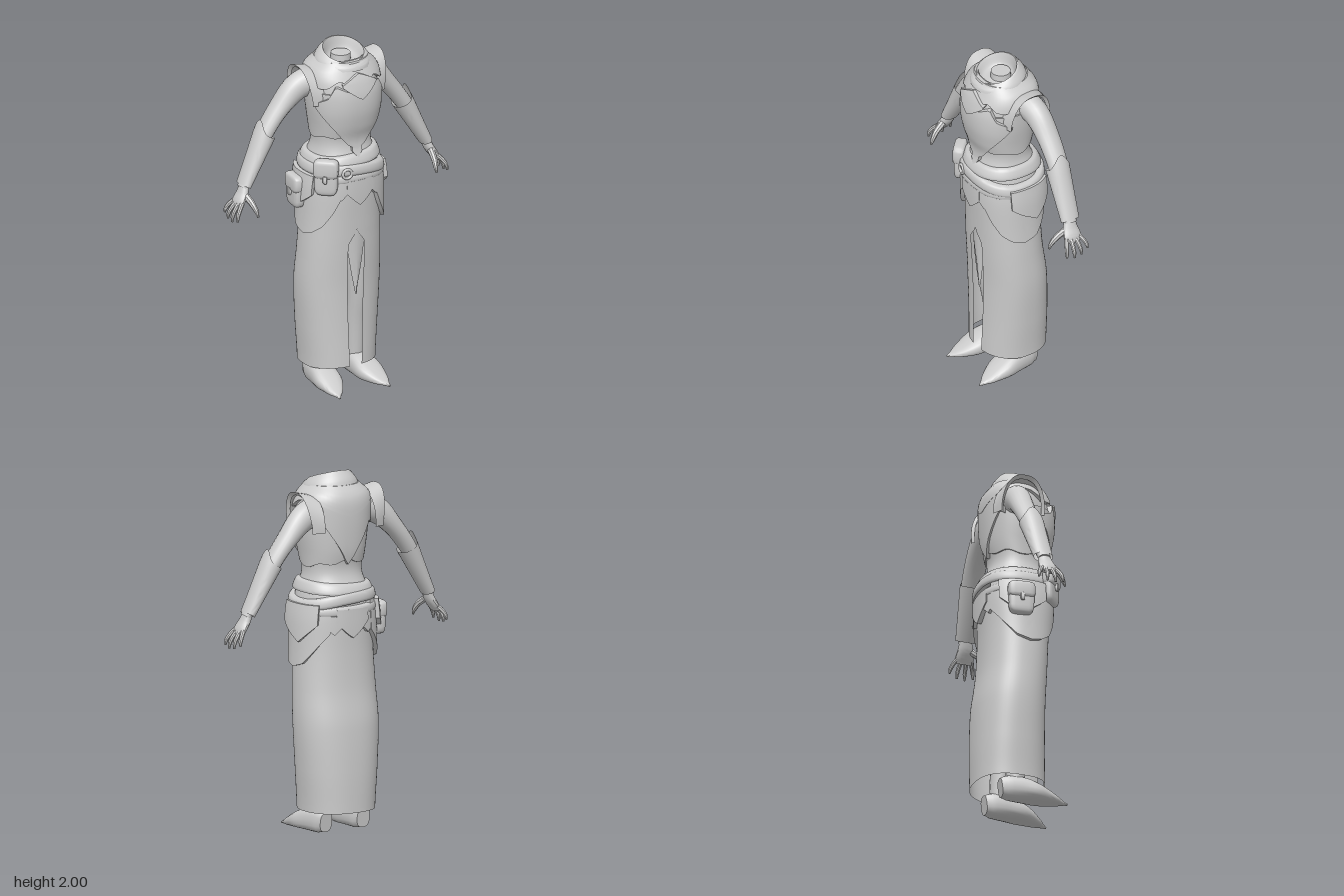
import * as THREE from 'three';
import { mergeVertices, toCreasedNormals } from 'three/addons/utils/BufferGeometryUtils.js';

const stone = new THREE.MeshStandardMaterial({ color: 0xcccccc, side: THREE.DoubleSide });
stone.name = 'pale grey';
const { sin, cos, abs, PI, sign, pow, min, max } = Math;

// Body cross-sections: height, half width, front z, back z
const BODY = [
  [0.12, .208, .155, -.243], [.35, .225, .15, -.243], [.6, .24, .15, -.232], [.8, .235, .16, -.205],
  [1.0, .225, .17, -.195], [1.2, .217, .18, -.195], [1.33, .195, .175, -.188], [1.42, .166, .145, -.15],
  [1.48, .165, .143, -.145], [1.55, .173, .165, -.16], [1.65, .188, .183, -.168], [1.75, .195, .182, -.172],
  [1.83, .193, .162, -.17], [1.88, .172, .137, -.155], [1.93, .12, .115, -.115]];

// Piecewise-linear and smooth interpolation of a table
function find(t, x) {
  let i = 0;
  while (i < t.length - 2 && x > t[i + 1][0]) i++;
  return [i, max(0, min(1, (x - t[i][0]) / (t[i + 1][0] - t[i][0])))];
}
const line = (...t) => x => { const [i, k] = find(t, x); return t[i][1] + (t[i + 1][1] - t[i][1]) * k; };
function smooth(t, x, c) {
  const [i, k] = find(t, x), g = j => t[max(0, min(t.length - 1, j))][c];
  const a = g(i - 1), b = g(i), d = g(i + 1), e = g(i + 2);
  return b + .5 * k * (d - a + k * (2 * a - 5 * b + 4 * d - e + k * (3 * (b - d) + e - a)));
}
const soft = (t, e) => sign(t) * pow(abs(t), e);
// Point on the body: angle 0 is the front, PI/2 is the left side
function onBody(a, y, off = 0) {
  const rx = smooth(BODY, y, 1) + off, f = smooth(BODY, y, 2) + off, b = smooth(BODY, y, 3) - off;
  return [rx * soft(sin(a), .86), y, (f + b) / 2 + (f - b) / 2 * soft(cos(a), .86)];
}

// Surface from a rule over u, v in 0..1
function grid(fn, nu, nv, crease = .7) {
  const pos = [], idx = [];
  for (let j = 0; j <= nv; j++) for (let i = 0; i <= nu; i++) pos.push(...fn(i / nu, j / nv));
  for (let j = 0; j < nv; j++) for (let i = 0; i < nu; i++) {
    const a = j * (nu + 1) + i, b = a + 1, c = a + nu + 1, d = c + 1;
    idx.push(a, b, d, a, d, c);
  }
  let g = new THREE.BufferGeometry();
  g.setAttribute('position', new THREE.Float32BufferAttribute(pos, 3));
  g.setIndex(idx);
  g = mergeVertices(g, 1e-5);
  g.computeVertexNormals();
  return toCreasedNormals(g, crease);
}
function add(parent, name, geo) {
  const m = new THREE.Mesh(geo, stone);
  m.name = name;
  parent.add(m);
  return m;
}

// Raised plate following the body, u in -1..1 across, with closed rims
function panel(parent, name, centre, half, top, bottom, off, nu = 24, nv = 10) {
  return add(parent, name, grid((u, v) => {
    const rim = u === 0 || u === 1 || v === 0 || v === 1;
    const s = max(-1, min(1, ((u * nu - 1) / (nu - 2)) * 2 - 1));
    const k = max(0, min(1, (v * nv - 1) / (nv - 2)));
    return onBody(centre + s * half, top(s) + (bottom(s) - top(s)) * k, rim ? 0 : off);
  }, nu, nv, .6));
}
const leaf = (parent, name, c, half, top, mid, tip, off) =>
  panel(parent, name, c, half, () => top, s => tip + (mid - tip) * abs(s), off, 12, 7);

// Tapered limb: points are [x, y, z, radius along ref, radius across]
function limb(pts, ref, nu = 14, nv = 20, power = 1) {
  const curve = new THREE.CatmullRomCurve3(pts.map(p => new THREE.Vector3(p[0], p[1], p[2])));
  const table = pts.map((p, i) => [i / (pts.length - 1), p[3], p[4] ?? p[3]]);
  return grid((u, v) => {
    const k = max(0, min(1, (v * nv - 1) / (nv - 2))), end = v === 0 || v === 1 ? 0 : 1;
    const c = curve.getPoint(k), t = curve.getTangent(k);
    const n = new THREE.Vector3().crossVectors(t, ref).normalize(), b = new THREE.Vector3().crossVectors(n, t);
    const a = u * 2 * PI;
    c.addScaledVector(b, soft(sin(a), power) * smooth(table, k, 1) * end);
    return c.addScaledVector(n, soft(cos(a), power) * smooth(table, k, 2) * end).toArray();
  }, nu, nv);
}

// Flat cloth belt wrapped round the body at a wavy height
function belt(parent, name, height, h, off) {
  add(parent, name, grid((u, v) => {
    const a = u * 2 * PI, k = v * PI;
    return onBody(a, height(a) + h / 2 * soft(cos(k), .8), off * pow(sin(k), .35));
  }, 56, 8));
}

// Pouch with a flap and a toggle
function pouch(parent, name, x, y, z, turn, w, h, d) {
  const g = new THREE.Group();
  g.name = name;
  const blob = (n, py, pz, sx, sy, sz) => add(g, n, grid((u, v) => {
    const a = u * 2 * PI, b = (v - .5) * PI, r = soft(cos(b), .45);
    return [sx * r * soft(cos(a), .45), py + sy * soft(sin(b), .45), pz + sz * r * soft(sin(a), .45)];
  }, 24, 12));
  blob('pouchBag', -.01, 0, w / 2, h / 2, d / 2);
  blob('pouchFlap', h * .22, .003, w / 2 + .005, h * .27, d / 2 + .005);
  blob('pouchToggle', -.01, d / 2 + .006, .012, .022, .008);
  g.position.set(x, y, z);
  g.rotation.y = turn;
  parent.add(g);
}

// One side's arm, cuff, hand, leg and shoe, built for the left
function buildSide() {
  const g = new THREE.Group(), Z = new THREE.Vector3(0, 0, 1), X = new THREE.Vector3(1, 0, 0);
  add(g, 'arm', limb([[.15, 1.79, -.06, .075, .08], [.24, 1.755, -.075, .07, .075], [.35, 1.65, -.083, .064, .053],
    [.45, 1.52, -.08, .058, .045], [.53, 1.38, -.07, .05, .04], [.6, 1.25, -.058, .036, .026]], Z, 18, 28));
  // Flared forearm cuff with a raised outer point
  add(g, 'cuff', grid((u, v) => {
    const a = u * 2 * PI, out = max(0, cos(a)), t = v * 1.02 - (1 - v) * .22 * pow(out, 4), k = max(0, t);
    const w = (.058 - .024 * k) * (1 + .1 * (1 - v) * out) * cos(a);
    return [.445 + .142 * t + .88 * w, 1.525 - .26 * t + .48 * w, -.075 + .013 * t + (.07 - .014 * k) * sin(a)];
  }, 28, 10));
  add(g, 'palm', limb([[.585, 1.27, -.06, .034, .024], [.605, 1.22, -.053, .044, .025],
    [.63, 1.18, -.05, .053, .022], [.645, 1.15, -.05, .045, .015]], Z));
  [-.087, -.061, -.035, -.009].forEach((z, i) => {
    const len = [.8, 1, 1.05, .92][i], dz = (i - 1.6) * .012;
    add(g, 'finger', limb([[.635, 1.175, z, .014], [.635 + .03 * len, 1.175 - .035 * len, z + dz, .0125],
      [.635 + .046 * len, 1.175 - .065 * len, z + dz * 1.5, .011], [.635 + .05 * len, 1.175 - .095 * len, z + dz * 1.7, .006]], Z, 8, 10));
  });
  add(g, 'thumb', limb([[.6, 1.21, -.02, .02], [.59, 1.175, .03, .017], [.582, 1.14, .057, .013], [.58, 1.11, .07, .006]], X, 8, 10));
  add(g, 'leg', limb([[.1, 1.1, 0, .085], [.105, .8, .01, .085], [.115, .5, 0, .065], [.12, .32, -.03, .06], [.125, .06, -.05, .05]], Z, 16, 20));
  add(g, 'shoe', limb([[.122, .062, -.132, .04, .055], [.124, .067, -.09, .056, .067], [.128, .065, .0, .07, .065],
    [.135, .046, .09, .076, .046], [.15, .022, .18, .045, .021], [.162, .006, .245, .005, .005]], X, 20, 22, .75));
  // Shoulder plate arching from chest to back, flaring up at its outer edge
  add(g, 'shoulderPlate', grid((u, v) => {
    const a = -.1 + u * (PI + .25), k = min(1, v / .9), e = v > .9 ? 1 : 0, up = max(0, sin(a));
    return [.165 + .068 * k + .032 * k * up - .018 * e, 1.71 + (.165 + .025 * k - .02 * e) * sin(a),
      -.04 + (.15 - .025 * k - .015 * e) * soft(cos(a), .8)];
  }, 24, 10));
  // Rounded hip drape
  panel(g, 'hipDrape', 1.5, 1.12, () => 1.29,
    line([-1, 1.17], [-.8, 1.07], [-.55, .985], [-.25, .94], [0, .925], [.3, .95], [.6, 1.02], [1, 1.12]), .022, 36, 14);
  leaf(g, 'sideTasset', 1.75, .55, 1.28, 1.17, 1.07, .045);
  leaf(g, 'frontTasset', .42, .26, 1.25, 1.2, 1.14, .022);
  leaf(g, 'backTasset', PI - .42, .4, 1.26, 1.19, 1.11, .02);
  return g;
}

export function createModel() {
  const model = new THREE.Group();
  model.name = 'robedFigure';

  add(model, 'torso', grid((u, v) => onBody(u * 2 * PI, 1.25 + .68 * v), 48, 28));
  // Long skirt with a front slit
  add(model, 'skirt', grid((u, v) => {
    const y = 1.32 - 1.2 * v, slit = line([.12, .14], [.5, .16], [.86, .18], [.93, 0])(y);
    const p = onBody(slit + u * (2 * PI - 2 * slit), y);
    p[1] += .02 * pow(v, 20) * (p[2] / .2) * (p[2] > 0 ? 1 : 0);
    return p;
  }, 56, 48));
  add(model, 'skirtTail', grid((u, v) => {
    const w = .062 * (1 - pow(v, 1.6)) + .001;
    return [.008 * v + (u * 2 - 1) * w, .98 - .43 * v, .15 - .012 * v + .012 * cos((u - .5) * PI)];
  }, 6, 10));

  for (const s of [1, -1]) {
    const half = buildSide();
    half.name = s > 0 ? 'leftSide' : 'rightSide';
    half.scale.x = s;
    model.add(half);
  }

  // Bodice, chest armour and back armour
  const both = (...t) => s => line(...t)(abs(s));
  panel(model, 'bodice', 0, PI, () => 1.76, s => 1.515 - .035 * sin(abs(s) * PI) + .01 * cos(s * 18), .008, 48, 8);
  panel(model, 'chestPlate', 0, 1.35, both([0, 1.75], [.45, 1.81], [.65, 1.74], [1, 1.7]),
    both([0, 1.42], [.18, 1.45], [.45, 1.53], [.7, 1.6], [.88, 1.65], [1, 1.685]), .026, 36, 16);
  panel(model, 'chestPendant', 0, .12, () => 1.48, both([0, 1.375], [1, 1.41]), .024, 8, 6);
  panel(model, 'backPlate', PI, .9, () => 1.9,
    both([0, 1.49], [.3, 1.59], [.6, 1.67], [.8, 1.72], [1, 1.7]), .02, 30, 14);
  // Layered shawl round the neck
  panel(model, 'shawl', 0, PI, () => 1.925,
    both([0, 1.79], [.16, 1.84], [.26, 1.8], [.36, 1.79], [.5, 1.85], [.75, 1.83], [1, 1.76]), .022, 56, 8);
  panel(model, 'chestDiamond', 0, .42, both([0, 1.87], [1, 1.82]), both([0, 1.73], [1, 1.81]), .04, 14, 8);

  // Slanted collar, folding inward as a funnel to the neck: step, half width, half depth, height, centre z
  const COLLAR = [[0, .165, .16, 1.88, .01], [.3, .15, .145, 1.925, .018], [.5, .12, .113, 1.958, .026],
    [.58, .112, .106, 1.955, .026], [.8, .085, .085, 1.91, .015], [1, .05, .05, 1.9, 0]];
  add(model, 'collar', grid((u, v) => {
    const a = u * 2 * PI, c = i => smooth(COLLAR, v, i), tilt = v < .5 ? v * 2 : (1 - v) * 2;
    return [c(1) * sin(a), c(3) - .042 * tilt * cos(a), c(4) + c(2) * cos(a)];
  }, 40, 20, 1));
  const neck = add(model, 'neck', new THREE.CylinderGeometry(.054, .058, .07, 24));
  neck.position.set(0, 1.9, 0);

  // Wrapped belts, ring and pouches
  belt(model, 'upperBelt', a => 1.357 + .012 * sin(a + .4), .065, .024);
  belt(model, 'middleBelt', a => 1.3 - .022 * sin(a) + .01 * cos(2 * a), .065, .032);
  belt(model, 'lowerBelt', a => 1.25 + .012 * sin(a + 2), .05, .026);
  leaf(model, 'centreTasset', 0, .3, 1.25, 1.18, 1.1, .026);
  leaf(model, 'backCentreTasset', PI, .38, 1.25, 1.18, 1.09, .026);
  const ring = add(model, 'beltRing', new THREE.TorusGeometry(.026, .008, 8, 20));
  ring.position.set(-.085, 1.3, .2);
  ring.rotation.y = -.2;
  pouch(model, 'frontPouch', -.185, 1.29, .14, -.75, .13, .2, .06);
  pouch(model, 'sidePouch', -.255, 1.165, -.06, -1.7, .14, .18, .06);
  return model;
}
